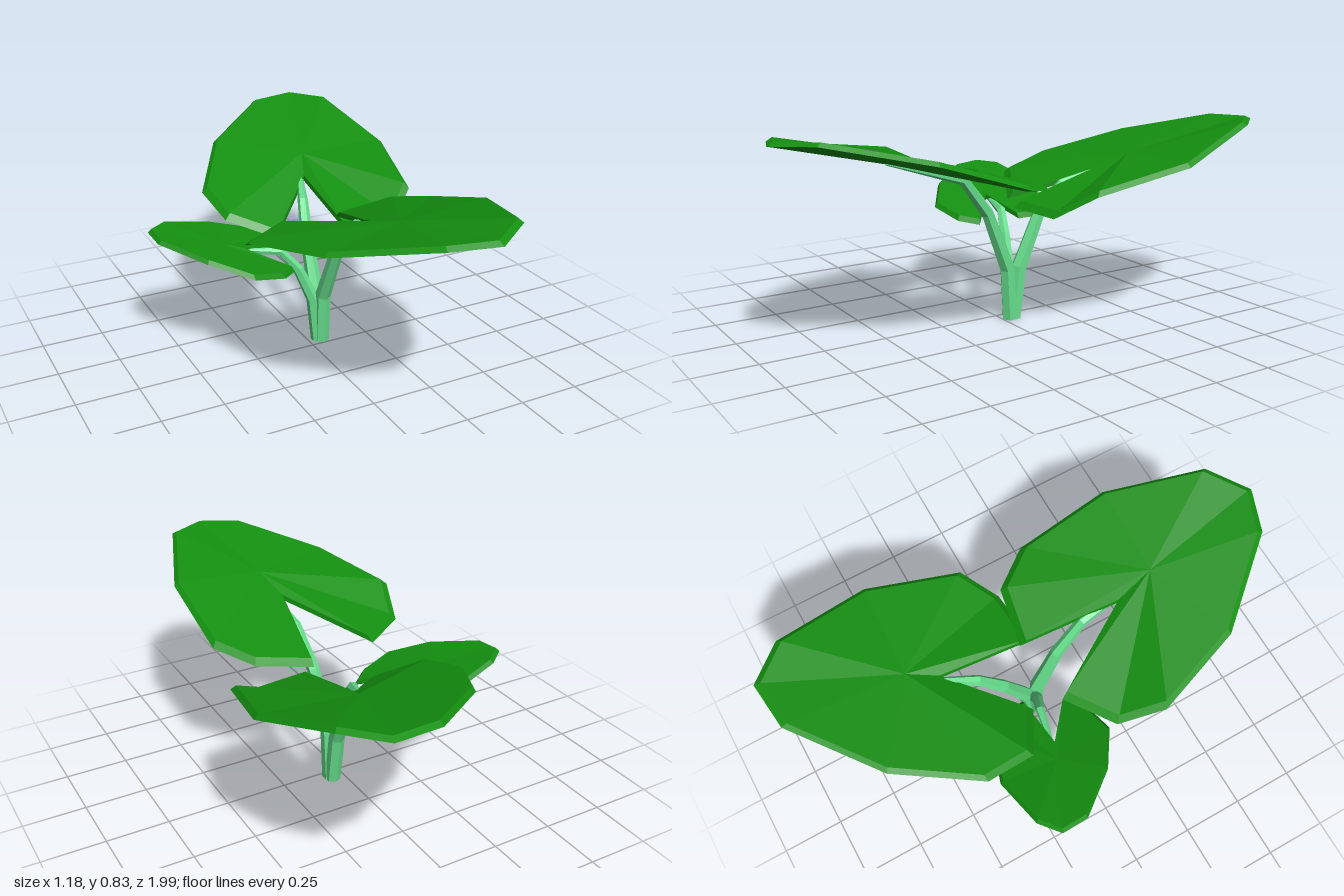
import * as THREE from 'three';

const leafMat = new THREE.MeshStandardMaterial({ color: 0x149010, flatShading: true });
const stemMat = new THREE.MeshStandardMaterial({ color: 0x66dd8c, flatShading: true });

function mesh(name, tris, material) {
  const geo = new THREE.BufferGeometry().setFromPoints(tris);
  geo.computeVertexNormals();
  const m = new THREE.Mesh(geo, material);
  m.name = name;
  return m;
}

// Thin notched leaf: rim outline (counter-clockwise from above), chamfered top, shallow keel below
function leaf(name, outline, centre) {
  const V = (p) => new THREE.Vector3(...p);
  const mid = V(centre);
  const rim = outline.map(V);
  const top = rim.map((p) => p.clone().lerp(mid, 0.05).add(new THREE.Vector3(0, 0.018, 0)));
  const topMid = mid.clone().setY(mid.y + 0.015);
  const keel = mid.clone().setY(mid.y - 0.025);
  const tris = [];
  rim.forEach((a, i) => {
    const j = (i + 1) % rim.length;
    const b = rim[j];
    tris.push(topMid, top[i], top[j]);
    tris.push(a, b, top[j], a, top[j], top[i]);
    tris.push(keel, b, a);
  });
  return mesh(name, tris, leafMat);
}

// Tapered six-sided stalk through a few points, bent in segments
function stalk(name, points, radii) {
  const pts = points.map((p) => new THREE.Vector3(...p));
  const sides = 6;
  const rings = pts.map((p, i) => {
    const dir = pts[Math.min(i + 1, pts.length - 1)].clone().sub(pts[Math.max(i - 1, 0)]).normalize();
    if (i === 0) dir.set(0, 1, 0); // flat foot on the ground
    const turn = new THREE.Quaternion().setFromUnitVectors(new THREE.Vector3(0, 1, 0), dir);
    return Array.from({ length: sides }, (_, k) => {
      const a = (k / sides) * Math.PI * 2;
      return new THREE.Vector3(Math.sin(a), 0, Math.cos(a)).multiplyScalar(radii[i]).applyQuaternion(turn).add(p);
    });
  });
  const tris = [];
  const last = rings.length - 1;
  for (let k = 0; k < sides; k++) {
    const n = (k + 1) % sides;
    for (let i = 0; i < last; i++) {
      const [a, b, c, d] = [rings[i][k], rings[i][n], rings[i + 1][n], rings[i + 1][k]];
      tris.push(a, b, c, a, c, d);
    }
    tris.push(pts[0], rings[0][n], rings[0][k], pts[last], rings[last][k], rings[last][n]);
  }
  return mesh(name, tris, stemMat);
}

export function createModel() {
  const group = new THREE.Group();
  group.name = 'threeLeafPlant';

  // Stalks share one foot and arch outwards
  const radii = [0.032, 0.032, 0.026, 0.022, 0.006];
  group.add(
    stalk('frontStalk', [[0.055, 0, -0.032], [0.055, 0.21, -0.02], [0.066, 0.45, 0.08],
      [0.08, 0.6, 0.2], [0.1, 0.695, 0.53]], radii),
    stalk('backStalk', [[0.052, 0, -0.05], [0.05, 0.21, -0.08], [0.055, 0.42, -0.17],
      [0.085, 0.535, -0.26], [0.19, 0.635, -0.53]], radii),
    stalk('sideStalk', [[0.04, 0, -0.04], [0.022, 0.19, -0.045], [-0.035, 0.33, -0.065],
      [-0.1, 0.41, -0.09], [-0.3, 0.44, -0.135]], radii.map((r) => r * 0.85)),
  );

  // Large front leaf
  group.add(leaf('frontLeaf', [
    [0.06, 0.65, 0.34], [-0.15, 0.56, -0.02], [-0.34, 0.565, 0.11], [-0.4, 0.65, 0.28],
    [-0.28, 0.71, 0.63], [-0.01, 0.795, 0.93], [0.16, 0.805, 0.99], [0.32, 0.815, 0.88],
    [0.465, 0.735, 0.51], [0.465, 0.615, 0.14], [0.36, 0.58, -0.01], [0.13, 0.535, -0.05],
  ], [0.09, 0.71, 0.5]));

  // Large back leaf
  group.add(leaf('backLeaf', [
    [0.15, 0.575, -0.38], [0.15, 0.48, 0.01], [0.38, 0.478, -0.01], [0.51, 0.57, -0.11],
    [0.59, 0.655, -0.48], [0.5, 0.775, -0.86], [0.38, 0.78, -1], [0.19, 0.77, -0.98],
    [-0.12, 0.685, -0.73], [-0.3, 0.585, -0.42], [-0.28, 0.53, -0.22], [-0.1, 0.455, -0.12],
  ], [0.2, 0.64, -0.5]));

  // Small side leaf
  group.add(leaf('sideLeaf', [
    [-0.25, 0.43, -0.11], [-0.03, 0.385, -0.13], [-0.03, 0.385, -0.24], [-0.1, 0.415, -0.31],
    [-0.3, 0.46, -0.375], [-0.51, 0.515, -0.335], [-0.59, 0.52, -0.27], [-0.585, 0.51, -0.16],
    [-0.45, 0.465, 0.01], [-0.3, 0.41, 0.11], [-0.16, 0.375, 0.08], [-0.09, 0.365, 0.02],
  ], [-0.32, 0.45, -0.14]));

  return group;
}
